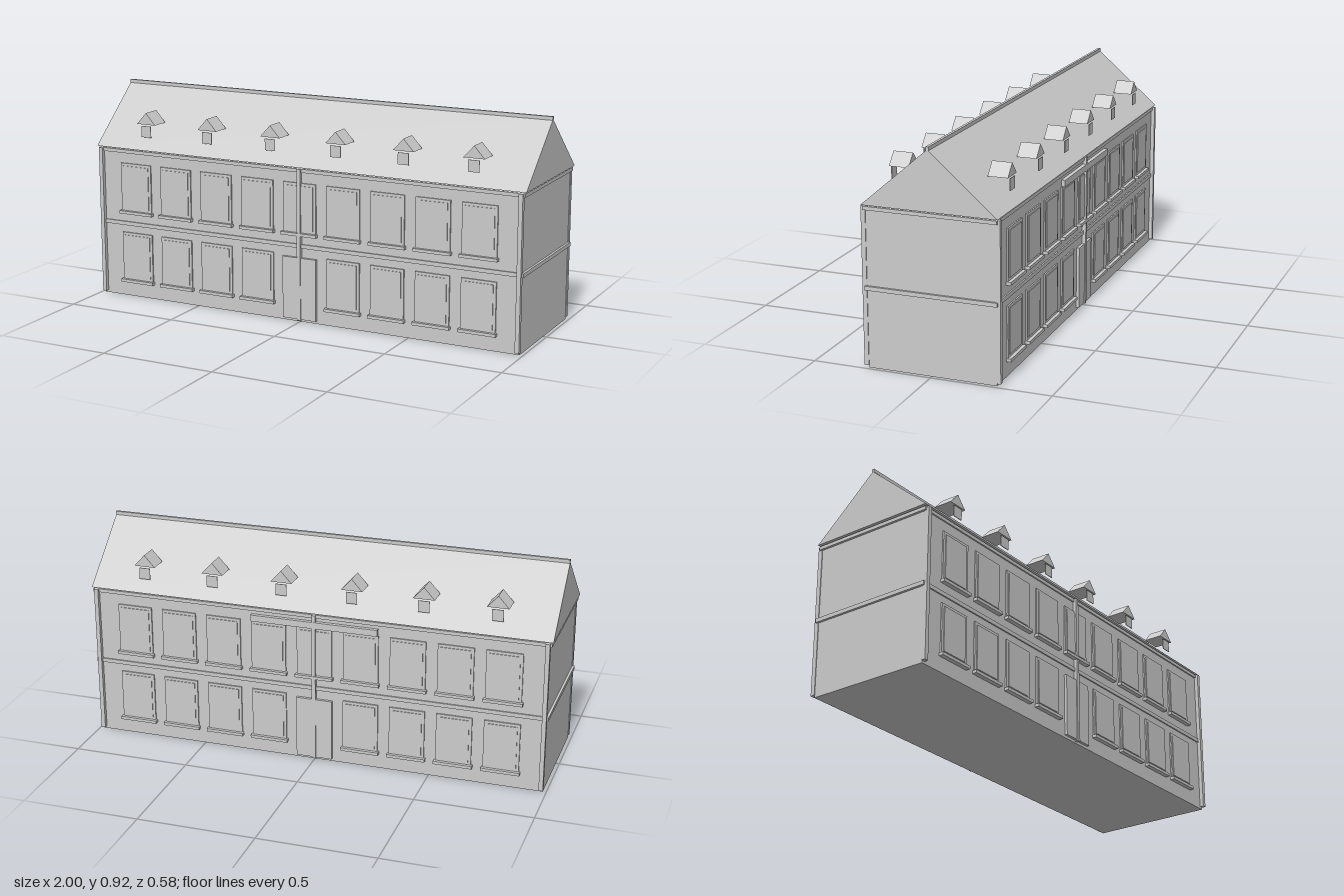
import * as THREE from 'three';

export function createModel() {
  const model = new THREE.Group();
  model.name = 'longHouse';
  const grey = new THREE.MeshStandardMaterial({ color: 0xcccccc });
  grey.name = 'plain grey';

  const add = (parent, name, geometry) => {
    const mesh = new THREE.Mesh(geometry, grey);
    mesh.name = name;
    parent.add(mesh);
    return mesh;
  };
  // box given by its limits on each axis
  const box = (parent, name, x0, x1, y0, y1, z0, z1) =>
    add(parent, name, new THREE.BoxGeometry(x1 - x0, y1 - y0, z1 - z0))
      .position.set((x0 + x1) / 2, (y0 + y1) / 2, (z0 + z1) / 2);
  // triangular prism along z, base on y = 0
  const prism = (half, height, depth) => {
    const s = new THREE.Shape();
    s.moveTo(-half, 0);
    s.lineTo(half, 0);
    s.lineTo(0, height);
    s.closePath();
    return new THREE.ExtrudeGeometry(s, { depth, bevelEnabled: false });
  };

  // walls and horizontal bands
  box(model, 'walls', -0.985, 0.985, 0, 0.655, -0.27, 0.27);
  box(model, 'middleBand', -0.995, 0.995, 0.321, 0.338, -0.276, 0.276);
  box(model, 'cornice', -0.995, 0.995, 0.645, 0.66, -0.276, 0.276);

  // gable roof with ridge
  const roof = prism(0.281, 0.243, 2).translate(0, 0, -1).rotateY(Math.PI / 2);
  add(model, 'roof', roof).position.y = 0.666;
  box(model, 'ridge', -1, 1, 0.905, 0.92, -0.006, 0.006);

  // one long side: windows, door, posts and dormers
  function buildSide(name) {
    const side = new THREE.Group();
    side.name = name;
    for (let floor = 0; floor < 2; floor++) {
      const y = floor ? 0.388 : 0.077;
      for (let i = -4; i <= 4; i++) {
        if (floor === 0 && i === 0) continue; // door stands here
        const x = i * 0.2015;
        box(side, 'windowSill', x - 0.082, x + 0.082, y - 0.013, y, 0.268, 0.29);
        box(side, 'windowFrame', x - 0.076, x + 0.076, y, y + 0.212, 0.268, 0.276);
        box(side, 'windowPane', x - 0.064, x + 0.064, y + 0.012, y + 0.2, 0.274, 0.279);
      }
    }
    box(side, 'door', -0.078, 0.078, 0.012, 0.28, 0.268, 0.282);
    box(side, 'centrePost', -0.008, 0.008, 0.008, 0.66, 0.268, 0.286);
    for (const s of [-1, 1]) {
      const x = s * 0.979;
      box(side, 'cornerPost', x - 0.009, x + 0.009, 0.01, 0.66, 0.268, 0.287);
    }
    for (let i = 0; i < 6; i++) {
      const x = (i - 2.5) * 0.306;
      add(side, 'dormerRoof', prism(0.046, 0.051, 0.083)).position.set(x, 0.774, 0.165);
      box(side, 'dormerWindow', x - 0.024, x + 0.024, 0.718, 0.767, 0.246, 0.249);
    }
    model.add(side);
    return side;
  }
  buildSide('frontSide');
  const back = buildSide('backSide');
  back.rotation.y = Math.PI;
  // long board above the back windows
  box(back, 'backBoard', -0.275, 0.275, 0.602, 0.63, 0.268, 0.287);

  return model;
}
